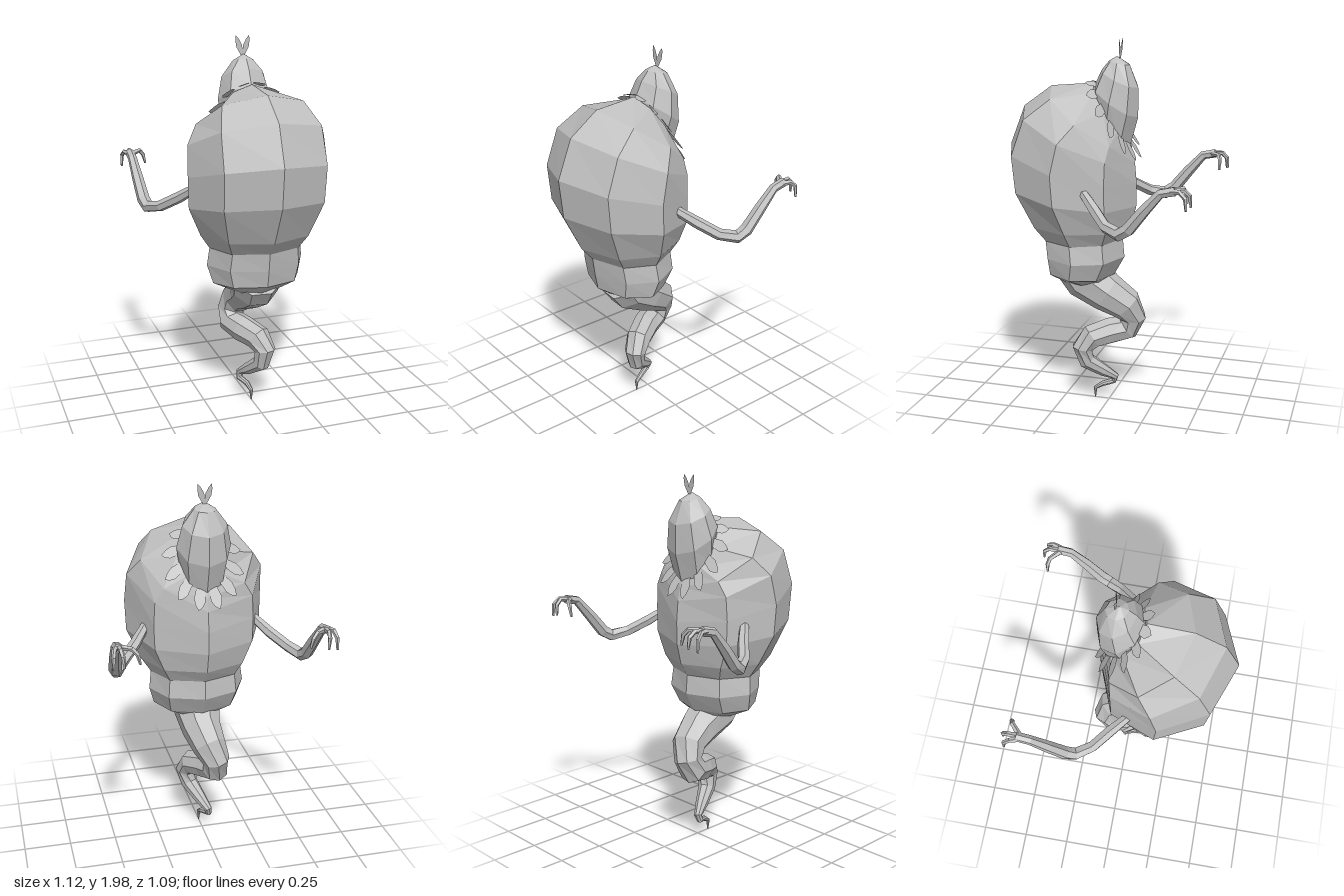
import * as THREE from 'three';

const skin = new THREE.MeshStandardMaterial({ color: 0xc0c0c0 });
const V = (x, y, z) => new THREE.Vector3(x, y, z);

// Flat-shaded mesh from a list of triangle corners
function facetMesh(name, corners) {
  const g = new THREE.BufferGeometry().setFromPoints(corners);
  g.computeVertexNormals();
  const m = new THREE.Mesh(g, skin);
  m.name = name;
  return m;
}

// Skin a series of rings and close both ends
function loft(name, rings) {
  const out = [], n = rings[0].length;
  const mid = r => r.reduce((s, p) => s.add(p), V(0, 0, 0)).divideScalar(n);
  const last = rings[rings.length - 1], c0 = mid(rings[0]), c1 = mid(last);
  for (let j = 0; j < n; j++) {
    const k = (j + 1) % n;
    for (let i = 0; i < rings.length - 1; i++) {
      const a = rings[i], b = rings[i + 1];
      out.push(a[j], a[k], b[j], a[k], b[k], b[j]);
    }
    out.push(c0, rings[0][k], rings[0][j], c1, last[j], last[k]);
  }
  return facetMesh(name, out);
}

// Tilted ring: front z, front y, back z, back y, half width
function tiltedRing([fz, fy, bz, by, hw], sides = 8) {
  return Array.from({ length: sides }, (_, i) => {
    const t = i / sides * Math.PI * 2, c = Math.cos(t);
    return V(hw * Math.sin(t), (fy + by) / 2 + c * (fy - by) / 2, (fz + bz) / 2 + c * (fz - bz) / 2);
  });
}

// Tapered tube through [x, y, z, radius] stations
function taperTube(name, stations, sides) {
  const pts = stations.map(s => V(s[0], s[1], s[2]));
  const curve = new THREE.CatmullRomCurve3(pts);
  let normal = V(0.3, 0.1, 1);
  const rings = pts.map((p, i) => {
    const t = curve.getTangent(i / (pts.length - 1));
    if (Math.abs(normal.dot(t)) > 0.98 * normal.length()) normal = V(1, 0, 0);
    normal = normal.clone().addScaledVector(t, -normal.dot(t)).normalize();
    const side = t.clone().cross(normal);
    return Array.from({ length: sides }, (_, j) => {
      const a = j / sides * Math.PI * 2, r = stations[i][3];
      return p.clone().addScaledVector(normal, r * Math.cos(a)).addScaledVector(side, r * Math.sin(a));
    });
  });
  return loft(name, rings);
}

// Two-sided pointed leaf from base to tip
function leaf(name, base, tip, across, baseW, midW) {
  const at = (f, w) => base.clone().lerp(tip, f).addScaledVector(across, w);
  const p = [at(0, -baseW), at(0, baseW), at(0.5, midW), at(0.78, midW * 0.65), at(1, 0),
    at(0.78, -midW * 0.65), at(0.5, -midW)];
  const out = [];
  for (let i = 1; i < p.length - 1; i++) out.push(p[0], p[i], p[i + 1], p[0], p[i + 1], p[i]);
  return facetMesh(name, out);
}

export function createModel() {
  const model = new THREE.Group();

  // Swollen body
  model.add(loft('body', [
    [0.355, 0.95, -0.075, 0.95, 0.25],
    [0.424, 1.03, -0.12, 1.02, 0.3],
    [0.525, 1.235, -0.148, 1.13, 0.37],
    [0.546, 1.44, -0.15, 1.25, 0.375],
    [0.467, 1.64, -0.14, 1.36, 0.365],
    [0.313, 1.75, -0.125, 1.43, 0.3],
    [0.085, 1.77, -0.1, 1.5, 0.13],
  ].map(r => tiltedRing(r))));

  // Bulging waist under the body
  model.add(loft('waist', [
    [0.23, 0.695, 0.0, 0.725, 0.13],
    [0.33, 0.77, -0.03, 0.75, 0.235],
    [0.347, 0.86, -0.085, 0.85, 0.262],
    [0.36, 0.957, -0.075, 0.957, 0.25],
  ].map(r => tiltedRing(r))));

  // Coiling tail
  model.add(taperTube('tail', [
    [0, 0.77, 0.15, 0.14], [0, 0.71, 0.117, 0.13], [0, 0.64, 0.01, 0.108],
    [-0.02, 0.575, -0.085, 0.092], [-0.05, 0.5, -0.118, 0.075], [-0.055, 0.435, -0.085, 0.076],
    [-0.02, 0.415, 0, 0.074], [0.035, 0.39, 0.09, 0.07], [0.06, 0.33, 0.135, 0.058],
    [0.045, 0.25, 0.115, 0.047], [0, 0.185, 0.03, 0.034], [-0.03, 0.145, -0.025, 0.022],
    [-0.035, 0.115, -0.015, 0.018], [-0.01, 0.1, 0.04, 0.015], [0, 0.075, 0.08, 0.011],
    [0, 0.02, 0.08, 0.003],
  ], 8));

  // Head, leaning to the back
  model.add(loft('head', [
    [0.075, 1.69, -0.11, 1.44, 0.12],
    [0.078, 1.76, -0.155, 1.6, 0.142],
    [0.038, 1.84, -0.155, 1.75, 0.115],
    [0.0, 1.885, -0.11, 1.865, 0.055],
    [-0.035, 1.905, -0.05, 1.905, 0.005],
  ].map(r => tiltedRing(r))));

  // Petal collar around the neck
  const collar = new THREE.Group();
  collar.name = 'collar';
  for (let i = 0; i < 12; i++) {
    const t = (i + 0.5) / 12 * Math.PI * 2, c = Math.cos(t), s = Math.sin(t);
    const base = V(0.12 * s, 1.62 + 0.15 * c, -0.025 + 0.085 * c);
    const tip = V(0.215 * s, 1.578 + 0.205 * c, -0.024 + 0.142 * c);
    const across = V(0.14 * c, -0.18 * s, -0.11 * s).normalize();
    collar.add(leaf('petal', base, tip, across, 0.024, 0.031));
  }
  model.add(collar);

  for (const s of [1, -1]) {
    const flip = list => list.map(([x, y, z, r]) => [s * x, y, z, r]);

    // Sprout leaf on the crown
    model.add(leaf('sproutLeaf', V(0, 1.89, -0.058), V(s * 0.036, 2, -0.062),
      V(0.94, -s * 0.34, 0), 0.004, 0.016));

    // Arm reaching backwards, with three hooked fingers
    const arm = new THREE.Group();
    arm.name = s > 0 ? 'leftArm' : 'rightArm';
    arm.add(taperTube('limb', flip([
      [0.29, 1.25, 0.05, 0.024], [0.36, 1.185, -0.03, 0.03], [0.44, 1.125, -0.11, 0.03],
      [0.488, 1.105, -0.19, 0.034], [0.5, 1.135, -0.24, 0.034], [0.51, 1.235, -0.32, 0.03],
      [0.517, 1.325, -0.4, 0.024], [0.515, 1.34, -0.47, 0.024],
    ]), 6));
    const fingers = [
      [[0.51, 1.338, -0.455, 0.016], [0.51, 1.345, -0.51, 0.012], [0.505, 1.32, -0.537, 0.011], [0.5, 1.265, -0.542, 0.006]],
      [[0.525, 1.338, -0.455, 0.016], [0.54, 1.342, -0.495, 0.012], [0.548, 1.315, -0.525, 0.011], [0.55, 1.255, -0.53, 0.006]],
      [[0.505, 1.338, -0.455, 0.016], [0.455, 1.342, -0.498, 0.012], [0.432, 1.315, -0.508, 0.011], [0.42, 1.265, -0.508, 0.006]],
    ];
    for (const f of fingers) arm.add(taperTube('finger', flip(f), 5));
    model.add(arm);
  }
  return model;
}
